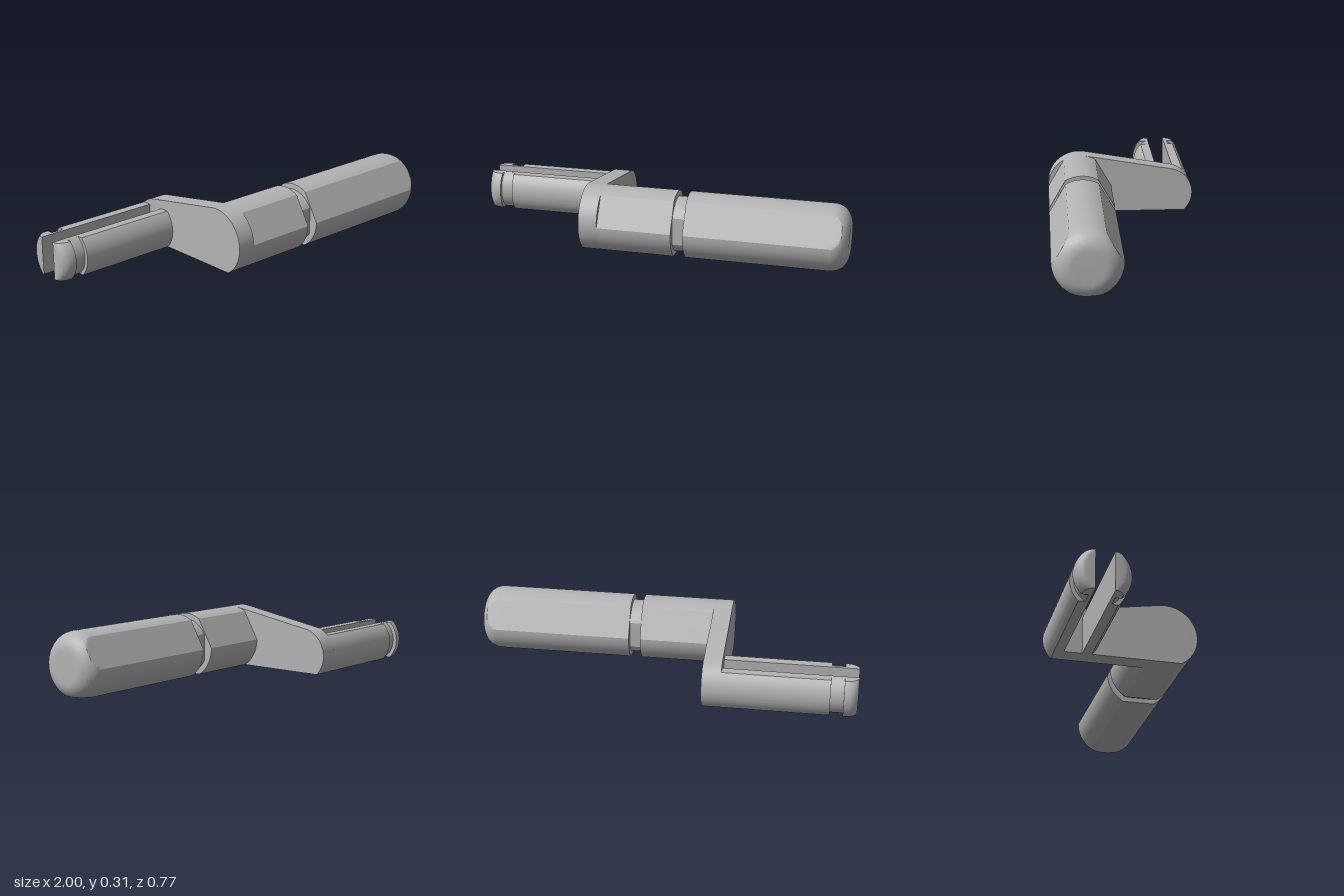
import * as THREE from 'three';
import { toCreasedNormals } from 'three/addons/utils/BufferGeometryUtils.js';

const RAD = Math.PI / 180;

// Skin convex cross-sections [z, y] (counter-clockwise) stacked along x, with end caps
function loft(sections) {
  const pos = [];
  const n = sections[0].pts.length;
  const v = (s, i) => [s.x, s.pts[i % n][1], s.pts[i % n][0]];
  const tri = (...corners) => corners.forEach((c) => pos.push(...c));
  for (let k = 0; k < sections.length - 1; k++) {
    const s = sections[k], t = sections[k + 1];
    for (let i = 0; i < n; i++) {
      tri(v(s, i), v(t, i), v(t, i + 1));
      tri(v(s, i), v(t, i + 1), v(s, i + 1));
    }
  }
  const first = sections[0], last = sections[sections.length - 1];
  for (let i = 1; i < n - 1; i++) {
    tri(v(first, 0), v(first, i), v(first, i + 1));
    tri(v(last, 0), v(last, i + 1), v(last, i));
  }
  const g = new THREE.BufferGeometry();
  g.setAttribute('position', new THREE.Float32BufferAttribute(pos, 3));
  return toCreasedNormals(g, 0.35);
}

function arc(cz, cy, r, from, to, steps) {
  const pts = [];
  for (let i = 0; i <= steps; i++) {
    const a = (from + ((to - from) * i) / steps) * RAD;
    pts.push([cz + r * Math.cos(a), cy + r * Math.sin(a)]);
  }
  return pts;
}

export function createModel() {
  const group = new THREE.Group();
  const grey = new THREE.MeshStandardMaterial({ color: 0xb4b4b4 });
  const add = (name, sections, parent = group) => {
    const mesh = new THREE.Mesh(loft(sections), grey);
    mesh.name = name;
    parent.add(mesh);
  };

  // Handle axis and radius, pin axis and radius
  const HZ = 0.217, HY = 0.1446, HR = 0.167;
  const PZ = -0.25, PY = 0.0975, PR = 0.1345;

  // Circle around the handle axis trimmed by flats facing the given angles
  const trimmed = (r, flats, d) => {
    const pts = [];
    for (let deg = 0; deg < 360; deg += 5) {
      let q = r;
      for (const f of flats) {
        const c = Math.cos((deg - f) * RAD);
        if (c > 0.01) q = Math.min(q, d / c);
      }
      pts.push([HZ + q * Math.cos(deg * RAD), HY + q * Math.sin(deg * RAD)]);
    }
    return pts;
  };
  const grip = (x, r) => ({ x, pts: trimmed(r, [30, 150, 270], HY) });

  // Handle: fixed collar, neck and long grip with a rounded end
  add('handleCollar', [grip(-0.235, HR), grip(0.14, HR)]);
  const neck = trimmed(0.138, [0, 180, 270], 0.12);
  add('handleNeck', [{ x: 0.14, pts: neck }, { x: 0.2, pts: neck }]);
  const gripSections = [grip(0.2, HR)];
  const fillet = 0.09;
  for (let i = 0; i <= 16; i++) {
    const a = (i / 16) * 90 * RAD;
    gripSections.push(grip(1 - fillet + fillet * Math.sin(a), HR - fillet + fillet * Math.cos(a)));
  }
  add('handleGrip', gripSections);

  // Crank arm: two circles joined by a tangent, flat underneath
  const dz = PZ - HZ, dy = PY - HY;
  const tangent = 360 + Math.atan2(dy, dz) / RAD
    - Math.acos((HR - PR) / Math.hypot(dz, dy)) / RAD;
  const low = 180 + Math.asin(PY / PR) / RAD;
  const armPts = [
    ...arc(HZ, HY, HR, -60, tangent, 32),
    ...arc(PZ, PY, PR, tangent, low, 28),
  ];
  add('crankArm', [{ x: -0.33, pts: armPts }, { x: -0.235, pts: armPts }]);

  // Split pin: two mirrored prongs, flat above and below, with a snap groove
  const prong = (x, r, side, inset = 0) => {
    const end = Math.asin(PY / r) / RAD;
    const pts = [
      [0.045, -PY],
      ...arc(-inset, 0, r, -end, end, 24),
      [0.045, PY],
    ].map(([z, y]) => [PZ + side * z, PY + y]);
    return { x, pts: side > 0 ? pts : pts.reverse() };
  };
  for (const side of [1, -1]) {
    const half = new THREE.Group();
    half.name = side > 0 ? 'frontProng' : 'backProng';
    group.add(half);
    add('prongBody', [prong(-0.865, PR, side), prong(-0.33, PR, side)], half);
    add('prongGroove', [prong(-0.93, 0.115, side), prong(-0.865, 0.115, side)], half);
    const tip = [];
    for (let i = 0; i <= 10; i++) {
      const a = (i / 10) * 90 * RAD;
      tip.push(prong(-0.942 - 0.058 * Math.cos(a), PR, side, 0.047 * (1 - Math.sin(a))));
    }
    tip.push(prong(-0.93, PR, side));
    add('prongTip', tip, half);
  }
  return group;
}
